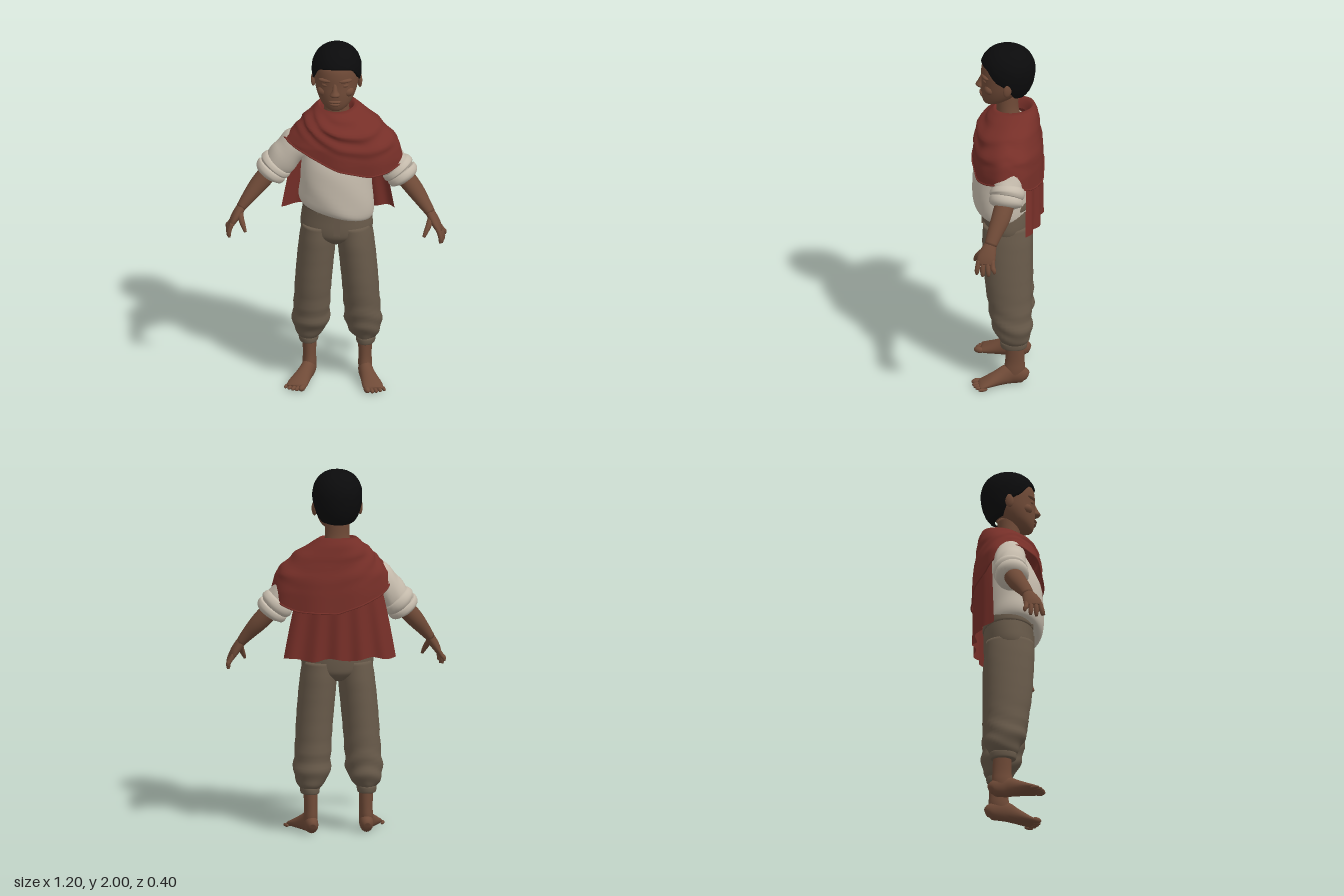
import * as THREE from 'three';

const V = (x, y, z) => new THREE.Vector3(x, y, z);
const mat = (name, color, side = THREE.FrontSide) => Object.assign(new THREE.MeshStandardMaterial({ color, side }), { name });
const lerp = THREE.MathUtils.lerp, clamp = THREE.MathUtils.clamp;

// Piecewise linear lookup in [[key, value], ...] with rising keys
function table(t, k) {
  for (let i = 1; i < t.length; i++) {
    if (k <= t[i][0]) return lerp(t[i - 1][1], t[i][1], clamp((k - t[i - 1][0]) / (t[i][0] - t[i - 1][0]), 0, 1));
  }
  return t[t.length - 1][1];
}

// Smooth surface from a rule fn(u, v); u may wrap around
function surface(nu, nv, closed, fn) {
  const pos = [], idx = [], w = closed ? nu : nu + 1;
  for (let j = 0; j <= nv; j++) for (let i = 0; i < w; i++) pos.push(...fn(i / nu, j / nv, j).toArray());
  for (let j = 0; j < nv; j++) for (let i = 0; i < nu; i++) {
    const a = j * w + i, b = j * w + (i + 1) % w;
    idx.push(a, b, b + w, a, b + w, a + w);
  }
  const g = new THREE.BufferGeometry();
  g.setAttribute('position', new THREE.Float32BufferAttribute(pos, 3));
  g.setIndex(idx);
  g.computeVertexNormals();
  return g;
}

// Capped loft through rows [x, y, z, halfWidth, halfDepth]; level rings unless a path side is given
function loft(rows, { side = null, seg = 28, sub = 4, warp = null } = {}) {
  const n = (rows.length - 1) * sub, last = rows.length - 1;
  const at = (t) => {
    const k = Math.min(Math.floor(t), last - 1), f = t - k;
    const [p0, p1, p2, p3] = [k - 1, k, k + 1, k + 2].map((q) => rows[clamp(q, 0, last)]);
    return p1.map((b, c) => 0.5 * (2 * b + (p2[c] - p0[c]) * f + (2 * p0[c] - 5 * b + 4 * p2[c] - p3[c]) * f * f
      + (3 * b - p0[c] - 3 * p2[c] + p3[c]) * f * f * f));
  };
  return surface(seg, n + 2, true, (u, v, j) => {
    const t = clamp(j - 1, 0, n) / sub, r = at(t), c = V(r[0], r[1], r[2]);
    if (j === 0 || j === n + 2) return c;
    const p = at(Math.max(t - 0.1, 0)), q = at(Math.min(t + 0.1, last));
    const dir = side ? V(q[0] - p[0], q[1] - p[1], q[2] - p[2]).normalize() : V(0, Math.sign(rows[last][1] - rows[0][1]), 0);
    const s = side ? side.clone().addScaledVector(dir, -side.dot(dir)).normalize() : V(1, 0, 0);
    const w = dir.clone().cross(s), th = u * Math.PI * 2;
    c.addScaledVector(s, r[3] * Math.cos(th)).addScaledVector(w, r[4] * Math.sin(th));
    return warp ? warp(c, th, r) : c;
  });
}

export function createModel() {
  const model = new THREE.Group();
  model.name = 'child';
  const skin = mat('brown skin', 0x6f4a37), hair = mat('black hair', 0x0b0b0c);
  const red = mat('red cloth', 0x762f28, THREE.DoubleSide);
  const linen = mat('cream linen', 0xc4baab), wool = mat('brown wool', 0x685a4a);
  const add = (name, geo, m) => {
    const mesh = new THREE.Mesh(geo, m);
    mesh.name = name;
    model.add(mesh);
    return mesh;
  };
  const ball = (name, m, x, y, z, rx, ry, rz) => {
    const b = add(name, new THREE.SphereGeometry(1, 18, 12), m);
    b.position.set(x, y, z);
    b.scale.set(rx, ry, rz);
    return b;
  };

  // Head and neck
  add('head', loft([[0, 1.655, 0.105, 0.028, 0.025], [0, 1.668, 0.088, 0.055, 0.053], [0, 1.7, 0.064, 0.085, 0.086],
    [0, 1.75, 0.036, 0.108, 0.118], [0, 1.8, 0.02, 0.119, 0.132], [0, 1.86, 0.013, 0.123, 0.139],
    [0, 1.91, 0.005, 0.117, 0.134], [0, 1.96, 0, 0.08, 0.09]], { seg: 36 }), skin);
  add('neck', loft([[0, 1.54, 0, 0.085, 0.07], [0, 1.63, 0.01, 0.068, 0.06], [0, 1.72, 0.01, 0.066, 0.062]]), skin);
  add('nose', loft([[0, 1.825, 0.138, 0.012, 0.014], [0, 1.785, 0.15, 0.016, 0.022], [0, 1.762, 0.155, 0.028, 0.028],
    [0, 1.748, 0.148, 0.02, 0.015]], { seg: 16 }), skin);
  ball('upperLip', skin, 0, 1.718, 0.143, 0.036, 0.01, 0.02);
  ball('lowerLip', skin, 0, 1.701, 0.138, 0.031, 0.011, 0.02);
  ball('chin', skin, 0, 1.674, 0.115, 0.036, 0.02, 0.025);
  for (const m of [-1, 1]) {
    ball('brow', skin, m * 0.052, 1.838, 0.128, 0.042, 0.013, 0.02).rotation.y = m * 0.35;
    ball('eyelid', skin, m * 0.05, 1.81, 0.124, 0.026, 0.013, 0.018).rotation.y = m * 0.35;
    ball('cheek', skin, m * 0.062, 1.765, 0.1, 0.038, 0.032, 0.035);
    ball('ear', skin, m * 0.126, 1.79, 0.005, 0.012, 0.04, 0.024).rotation.set(-0.15, m * 0.35, 0);
  }

  // Close-cropped hair with a shaped hairline
  const hairline = [[-1, 2.52], [-0.35, 2.4], [-0.1, 2.05], [0.15, 1.85], [0.45, 1.72], [0.75, 1.33], [1, 1.24]];
  add('hair', surface(48, 22, true, (u, v, j) => {
    const th = u * Math.PI * 2, c = Math.cos(th), s = Math.sin(th);
    const phi = table(hairline, s) * Math.min(j / 21, 1), r = Math.sin(phi) ** 0.82 * (j === 22 ? 0.75 : 1);
    const bump = 1 + 0.008 * Math.sin(th * 11) * Math.sin(phi * 13);
    const y = Math.cos(phi);
    return V(0.136 * r * c * bump, 1.865 + y * (y > 0 ? 0.135 : 0.19), 0.008 + 0.151 * r * s * bump);
  }), hair);

  // Shirt body with a slanted, bloused hem
  add('shirt', loft([[0, 1.035, 0.025, 0.17, 0.13], [0, 1.04, 0.03, 0.192, 0.15], [0, 1.085, 0.035, 0.204, 0.162],
    [0, 1.2, 0.037, 0.196, 0.163], [0, 1.32, 0.03, 0.188, 0.155], [0, 1.43, 0.01, 0.17, 0.125],
    [0, 1.52, 0, 0.1, 0.09]], {
    seg: 48, warp: (p, th) => {
      const k = clamp((1.35 - p.y) / 0.25, 0, 1);
      const fold = 1 + 0.012 * k * Math.sin(p.x * 26 + p.y * 30);
      return V(p.x * fold, p.y - 0.24 * p.x * k, p.z * fold);
    },
  }), linen);

  // Trousers: seat, waistband, fly and belt loops
  add('trouserSeat', loft([[0, 0.845, 0.01, 0.05, 0.085], [0, 0.885, 0.01, 0.165, 0.125], [0, 0.93, 0.01, 0.196, 0.135],
    [0, 1, 0.008, 0.192, 0.136], [0, 1.06, 0.01, 0.182, 0.135]], { seg: 40 }), wool);
  add('waistband', loft([[0, 1.05, 0.01, 0.184, 0.138], [0, 1.06, 0.01, 0.188, 0.142], [0, 1.095, 0.01, 0.184, 0.139],
    [0, 1.1, 0.01, 0.175, 0.13]], { seg: 40 }), wool);
  const fly = add('fly', new THREE.BoxGeometry(0.035, 0.14, 0.009), wool);
  fly.position.set(0.01, 0.985, 0.144);
  for (const x of [-0.1, 0.1]) {
    const loop = add('beltLoop', new THREE.BoxGeometry(0.014, 0.06, 0.009), wool);
    loop.position.set(x, 1.07, 0.133);
    loop.rotation.y = x * 4.5;
  }

  for (const m of [-1, 1]) {
    const flip = (rows) => rows.map(([x, ...r]) => [m * x, ...r]);
    const Z = V(0, 0, 1), X = V(1, 0, 0);

    // Baggy trouser leg gathered into a cuff
    add('trouserLeg', loft(flip([[0.155, 0.25, -0.03, 0.05, 0.066], [0.152, 0.275, -0.031, 0.072, 0.084],
      [0.146, 0.315, -0.028, 0.094, 0.1], [0.142, 0.37, -0.018, 0.101, 0.112], [0.136, 0.46, -0.01, 0.099, 0.117],
      [0.127, 0.6, 0.001, 0.1, 0.126], [0.115, 0.74, 0.006, 0.101, 0.131], [0.103, 0.86, 0.009, 0.1, 0.134],
      [0.095, 0.95, 0.01, 0.094, 0.128]]), {
      seg: 32, warp: (p, th, r) => {
        const k = 0.05 * clamp((0.62 - p.y) / 0.25, 0.1, 1) * Math.sin(p.y * 62 + m * 2.5 * Math.sin(th) + Math.cos(2 * th));
        return V(lerp(p.x, r[0], k), p.y, lerp(p.z, r[2], k));
      },
    }), wool);
    add('trouserCuff', loft(flip([[0.155, 0.218, -0.03, 0.042, 0.058], [0.155, 0.224, -0.03, 0.051, 0.07],
      [0.156, 0.252, -0.03, 0.054, 0.074], [0.156, 0.262, -0.03, 0.048, 0.066]])), wool);

    // Bare ankle, foot and toes
    add('ankle', loft(flip([[0.153, 0.28, -0.033, 0.042, 0.05], [0.151, 0.15, -0.036, 0.036, 0.052],
      [0.152, 0.09, -0.033, 0.038, 0.058], [0.154, 0.05, -0.025, 0.036, 0.058]])), skin);
    add('foot', loft(flip([[0.15, 0.038, -0.104, 0.018, 0.022], [0.15, 0.048, -0.08, 0.035, 0.046],
      [0.155, 0.056, -0.01, 0.039, 0.058], [0.175, 0.042, 0.05, 0.044, 0.044], [0.198, 0.026, 0.11, 0.054, 0.028],
      [0.211, 0.018, 0.145, 0.054, 0.018], [0.214, 0.016, 0.158, 0.045, 0.01]]), {
      side: X, warp: (p) => V(p.x, Math.max(p.y, 0.002), p.z),
    }), skin);
    for (let i = 0; i < 5; i++) {
      const r = i ? 0.0125 - i * 0.0006 : 0.017;
      ball('toe', skin, m * (0.176 + i * 0.021 + (i ? 0.004 : 0)), r, 0.17 - i * i * 0.0022, r, r, 0.03 - i * 0.001)
        .rotation.y = m * 0.35;
    }

    // Sleeve with two rolled folds
    add('sleeve', loft(flip([[0.15, 1.44, 0, 0.07, 0.07], [0.21, 1.41, 0, 0.086, 0.086], [0.265, 1.35, 0, 0.089, 0.087],
      [0.31, 1.29, 0, 0.085, 0.084], [0.345, 1.25, 0.002, 0.075, 0.075]]), {
      side: Z, warp: (p, th) => V(p.x, p.y + 0.006 * Math.sin(p.x * 75 + 2 * th), p.z),
    }), linen);
    add('sleeveRoll', loft(flip([[0.312, 1.292, 0, 0.072, 0.07], [0.319, 1.284, 0, 0.091, 0.089],
      [0.337, 1.262, 0, 0.096, 0.094], [0.35, 1.247, 0.002, 0.08, 0.078]]), { side: Z }), linen);
    add('sleeveRoll', loft(flip([[0.342, 1.256, 0.002, 0.072, 0.07], [0.35, 1.245, 0.004, 0.091, 0.09],
      [0.37, 1.222, 0.008, 0.089, 0.086], [0.381, 1.207, 0.01, 0.058, 0.056]]), { side: Z }), linen);

    // Forearm, palm, fingers and thumb
    add('forearm', loft(flip([[0.34, 1.26, 0, 0.054, 0.052], [0.42, 1.168, 0.03, 0.052, 0.048],
      [0.475, 1.1, 0.062, 0.042, 0.037], [0.517, 1.045, 0.085, 0.033, 0.026]]), { side: Z }), skin);
    add('palm', loft(flip([[0.508, 1.058, 0.08, 0.03, 0.024], [0.53, 1.022, 0.094, 0.042, 0.026],
      [0.553, 0.984, 0.106, 0.05, 0.022], [0.568, 0.953, 0.11, 0.046, 0.015]]), { side: Z }), skin);
    for (let i = 0; i < 4; i++) {
      const z = 0.072 + i * 0.025, tip = [0.912, 0.893, 0.888, 0.898][i], r = 0.0125;
      add('finger', loft(flip([[0.56, 0.975, z, r, r], [0.582 - i * 0.003, 0.94, z - 0.003 + i * 0.003, r + 0.001, r],
        [0.591 - i * 0.005, tip + 0.018, z - 0.009 + i * 0.006, r, r - 0.001],
        [0.592 - i * 0.006, tip, z - 0.011 + i * 0.007, 0.007, 0.007]]), { side: Z, seg: 10, sub: 3 }), skin);
    }
    add('thumb', loft(flip([[0.522, 1.03, 0.1, 0.018, 0.018], [0.51, 0.995, 0.138, 0.018, 0.016],
      [0.497, 0.965, 0.159, 0.015, 0.013], [0.485, 0.937, 0.172, 0.008, 0.008]]), { side: Z, seg: 12, sub: 3 }), skin);
  }

  // Shoulder wrap: its slanted hem is given by angle from the left side towards the front
  const hem = [[0, 1.345], [35, 1.3], [62, 1.285], [90, 1.325], [130, 1.42], [165, 1.45], [185, 1.44], [225, 1.32],
    [270, 1.24], [310, 1.25], [340, 1.3], [360, 1.345]];
  const wide = [[1.24, 0.34], [1.35, 0.335], [1.44, 0.313], [1.48, 0.28], [1.55, 0.218], [1.6, 0.15], [1.64, 0.095]];
  const deep = [[1.24, 0.194], [1.35, 0.192], [1.44, 0.185], [1.54, 0.163], [1.6, 0.135], [1.64, 0.105]];
  add('shoulderWrap', surface(72, 30, true, (u, v, j) => {
    const th = u * Math.PI * 2, c = Math.cos(th), s = Math.sin(th);
    // collar turned inwards at the neck
    if (j < 3) return V(c * (0.075 + j * 0.006), 1.575 + j * 0.022 - 0.012 * s, -0.015 - j * 0.004 + s * (0.08 + j * 0.007));
    const d = (j - 3) / 27, y = lerp(1.638, table(hem, u * 360), d);
    const fold = 0.009 * Math.sin(d * 24 + 4 * c * c - 2.5 * c) * Math.sin(Math.PI * Math.min(d * 1.3, 1)) * (0.6 + 0.4 * s)
      + 0.004 * d * Math.sin(th * 9);
    const rx = table(wide, y) + fold, rz = table(deep, y) + fold;
    return V(0.025 * Math.min(d * 2, 1) + rx * c, y - 0.012 * s * (1 - d), lerp(-0.03, 0.004, Math.min(d * 3, 1)) + rz * s);
  }), red);

  // Rolled edge along the hem of the wrap
  const rim = [];
  for (let i = 0; i < 48; i++) {
    const th = i / 48 * Math.PI * 2, y = table(hem, i * 7.5), f = 0.004 * Math.sin(th * 9);
    rim.push(V(0.025 + (table(wide, y) + f) * Math.cos(th), y, 0.004 + (table(deep, y) + f) * Math.sin(th)));
  }
  add('wrapHem', new THREE.TubeGeometry(new THREE.CatmullRomCurve3(rim, true), 120, 0.005, 6, true), red);

  // Pleated cloth hanging down the back
  add('backCloth', surface(60, 16, false, (u, v) => {
    const a = u * 2 - 1, half = lerp(0.215, 0.308, v ** 0.8);
    const pleat = 0.011 * (0.3 + 0.7 * v) * Math.sin(a * 15 + 0.8);
    return V(a * half, lerp(1.4, 0.98 + 0.008 * Math.sin(a * 9), v), -0.1 - 0.078 * Math.cos(a * Math.PI / 2) ** 0.7 - pleat);
  }), red);

  return model;
}
